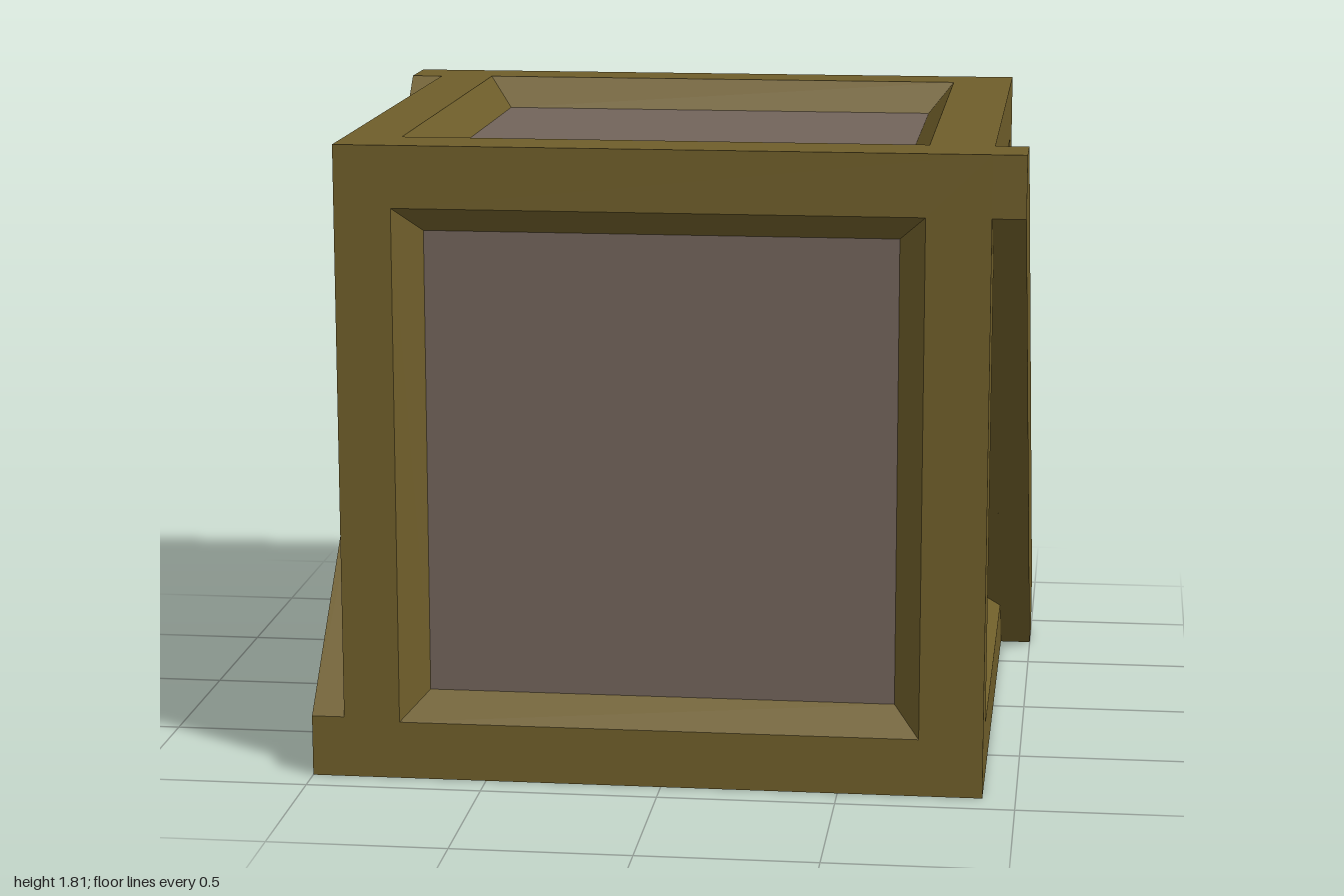
import * as THREE from 'three';

const HALF = 0.907;   // half of the crate body
const RIM = 0.737;    // half opening at the outer surface
const FLOOR = 0.663;  // half size of the sunken panel
const DEPTH = 0.09;   // how far the panels are sunk
const REACH = 1;      // outer side of the diagonal braces
const SHIFT = new THREE.Vector3(-0.01, -0.005, -0.01); // openings sit slightly off centre

const wood = new THREE.MeshStandardMaterial({ color: 0x6f5e2a, flatShading: true });
const board = new THREE.MeshStandardMaterial({ color: 0x72645a, flatShading: true });

function quads(list) {
  const pos = [];
  for (const [a, b, c, d] of list) for (const p of [a, b, c, a, c, d]) pos.push(p.x, p.y, p.z);
  const g = new THREE.BufferGeometry();
  g.setAttribute('position', new THREE.Float32BufferAttribute(pos, 3));
  g.computeVertexNormals();
  return g;
}

// One crate side: flat frame, sloping reveal and sunken panel
function crateSide(axis, sign, name) {
  const unit = (i, s) => new THREE.Vector3().setComponent(i % 3, s);
  const n = unit(axis, sign), u = unit(axis + 1, 1), v = unit(axis + 2, sign);
  const shift = SHIFT.clone().setComponent(axis, 0);
  const loop = (half, height, moved) => [[-1, -1], [1, -1], [1, 1], [-1, 1]].map(([a, b]) => {
    const p = new THREE.Vector3().addScaledVector(n, height)
      .addScaledVector(u, a * half).addScaledVector(v, b * half);
    return moved ? p.add(shift) : p;
  });
  const loops = [loop(HALF, HALF, false), loop(RIM, HALF, true), loop(FLOOR, HALF - DEPTH, true)];
  const faces = [];
  for (let k = 0; k < 2; k++) {
    for (let i = 0; i < 4; i++) {
      const j = (i + 1) % 4;
      faces.push([loops[k][i], loops[k][j], loops[k + 1][j], loops[k + 1][i]]);
    }
  }
  const side = new THREE.Group();
  side.name = name + 'Side';
  const frame = new THREE.Mesh(quads(faces), wood);
  frame.name = name + 'Frame';
  const panel = new THREE.Mesh(quads([loops[2]]), board);
  panel.name = name + 'Panel';
  side.add(frame, panel);
  return side;
}

// Diagonal bar with its ends cut square to a box of the given half size
function diagonal(half, from, to) {
  const c = half - 0.175;
  const shape = new THREE.Shape([
    [-half, half], [-half, c], [c, -half], [half, -half], [half, -c], [-c, half],
  ].map(([x, y]) => new THREE.Vector2(x, y)));
  const g = new THREE.ExtrudeGeometry(shape, { depth: to - from, bevelEnabled: false });
  return g.translate(0, 0, from);
}

export function createModel() {
  const model = new THREE.Group();
  model.name = 'crate';
  const body = new THREE.Group();
  body.name = 'crateBody';
  body.position.y = HALF;
  model.add(body);

  const names = [['left', 'right'], ['top', 'bottom'], ['front', 'back']];
  names.forEach((pair, axis) => pair.forEach((name, k) => body.add(crateSide(axis, k ? -1 : 1, name))));

  // Braces: an outer bar over the frame, and a filler reaching down to the panel
  for (const s of [1, -1]) {
    const brace = new THREE.Group();
    brace.name = s > 0 ? 'leftBrace' : 'rightBrace';
    const bar = new THREE.Mesh(diagonal(HALF, HALF, REACH), wood);
    bar.name = 'braceBar';
    const filler = new THREE.Mesh(diagonal(0.8, HALF - DEPTH, HALF), wood);
    filler.name = 'braceFiller';
    brace.add(bar, filler);
    brace.rotation.y = s * Math.PI / 2;
    body.add(brace);
  }
  return model;
}
